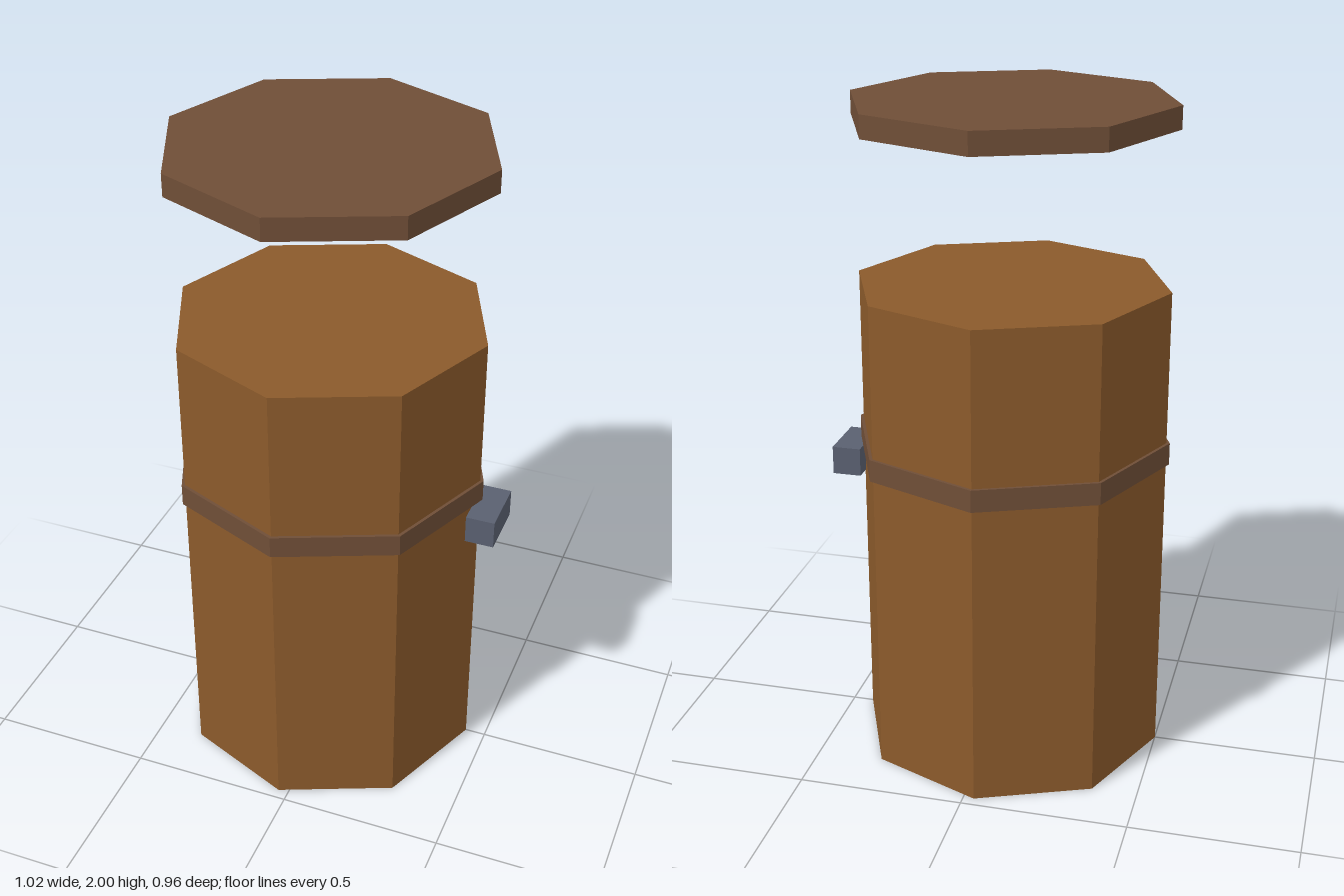
import * as THREE from 'three';

const material = (color) => new THREE.MeshStandardMaterial({ color, flatShading: true });

// Eight-sided drum with corners on the x and z axes, spanning two heights
function octagon(name, radius, bottom, top, mat) {
  const mesh = new THREE.Mesh(new THREE.CylinderGeometry(radius, radius, top - bottom, 8), mat);
  mesh.position.y = (bottom + top) / 2;
  mesh.name = name;
  return mesh;
}

export function createModel() {
  const model = new THREE.Group();
  model.name = 'barrel';
  const wood = material(0x8b5a2b);
  const darkWood = material(0x6f4e37);
  const metal = material(0x5a6070);

  // Main drum, the band around it and the lid floating above
  const barrel = new THREE.Group();
  barrel.name = 'drum';
  barrel.position.x = -0.032;
  barrel.add(
    octagon('body', 0.469, 0, 1.466, wood),
    octagon('band', 0.479, 0.938, 1.005, darkWood),
    octagon('lid', 0.479, 1.933, 2, darkWood)
  );

  // Metal latch on the left corner, below the band
  const latch = new THREE.Mesh(new THREE.BoxGeometry(0.087, 0.087, 0.174), metal);
  latch.name = 'latch';
  latch.position.set(0.467, 0.883, 0);

  model.add(barrel, latch);
  return model;
}
